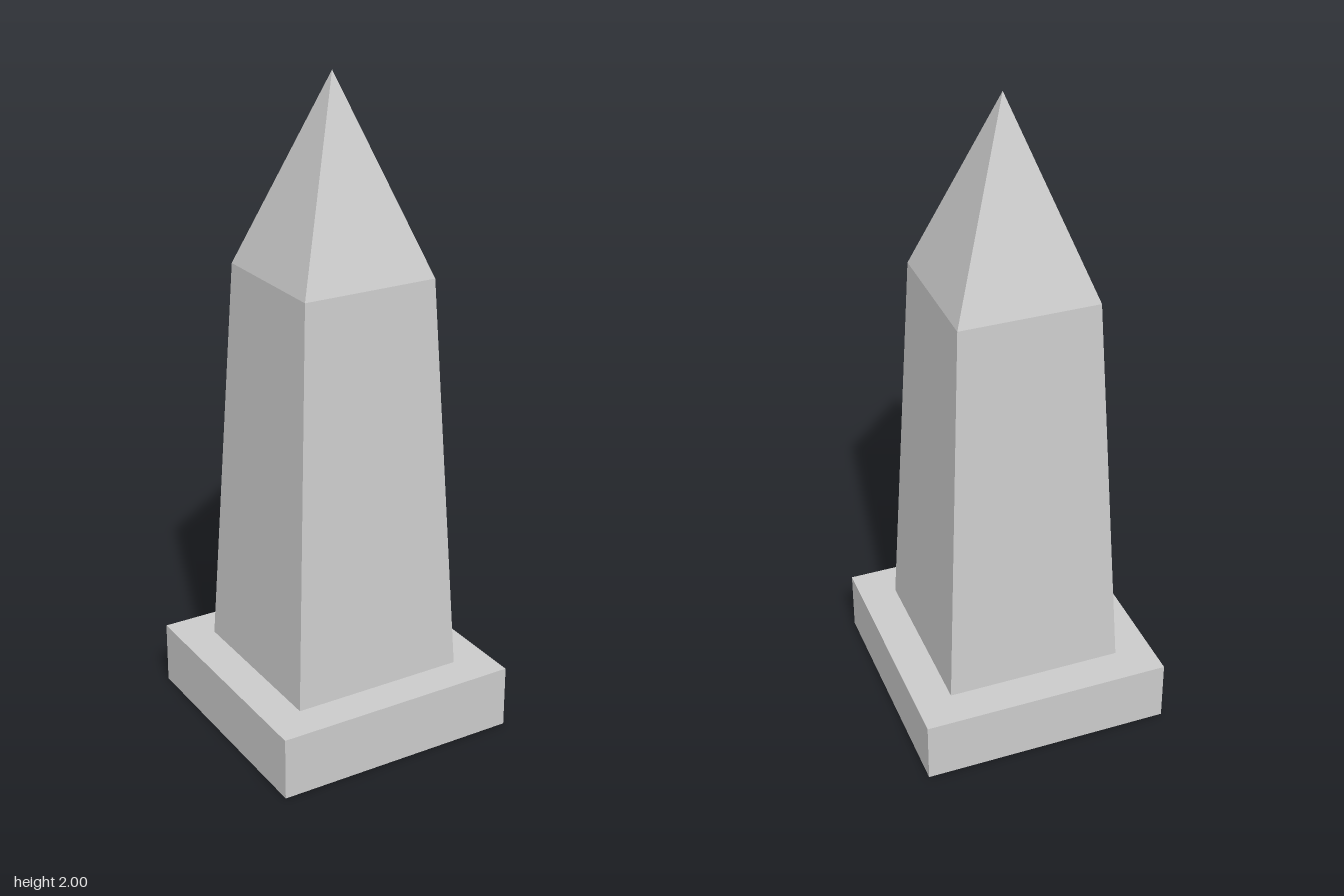
import * as THREE from 'three';

const material = new THREE.MeshStandardMaterial({ color: 0xcccccc, flatShading: true });

// Four-sided tapered block with its corners on the x and z axes
function block(name, bottomRadius, topRadius, y0, y1, open) {
  const geometry = new THREE.CylinderGeometry(topRadius, bottomRadius, y1 - y0, 4, 1, open);
  const mesh = new THREE.Mesh(geometry, material);
  mesh.name = name;
  mesh.position.y = (y0 + y1) / 2;
  return mesh;
}

export function createModel() {
  const group = new THREE.Group();
  group.name = 'obelisk';
  group.add(
    block('plinth', 0.547, 0.547, 0, 0.195, false),
    block('shaft', 0.386, 0.3, 0.195, 1.425, true),
    block('pyramidTip', 0.3, 0, 1.425, 2, true),
  );
  return group;
}
